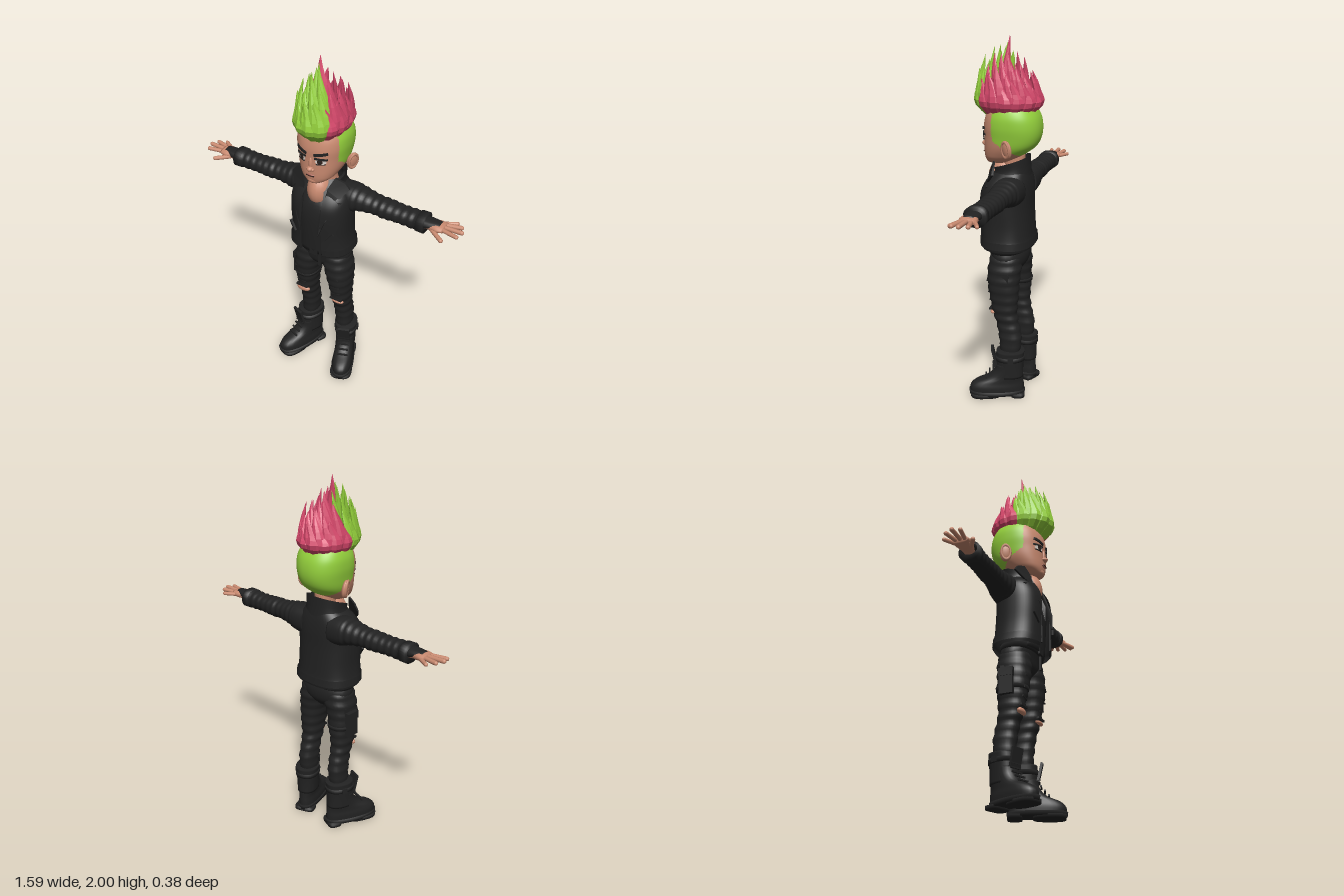
import * as THREE from 'three';
import { mergeVertices, toCreasedNormals } from 'three/addons/utils/BufferGeometryUtils.js';

const colour = (name, color, extra) => Object.assign(new THREE.MeshStandardMaterial({ color }), { name }, extra);

// Rows hold [height, half width, front z, back z, centre x]; resample them smoothly.
function smooth(rows, k = 4) {
  const out = [], n = rows.length;
  for (let i = 0; i < n - 1; i++) for (let s = 0; s < k; s++) {
    const t = s / k, at = (j, c) => rows[Math.min(n - 1, Math.max(0, j))][c] ?? 0;
    out.push([0, 1, 2, 3, 4].map(c => {
      const p = at(i - 1, c), a = at(i, c), b = at(i + 1, c), q = at(i + 2, c);
      return a + 0.5 * t * (b - p + t * (2 * p - 5 * a + 4 * b - q + t * (3 * (a - b) + q - p)));
    }));
  }
  out.push([0, 1, 2, 3, 4].map(c => rows[n - 1][c] ?? 0));
  return out;
}

// Skin over stacked rounded rings; gap opens the front, alongX lays it on its side.
function loft(rows, { n = 28, p = 2.3, gap = 0, alongX = false } = {}) {
  const pos = [], idx = [], m = gap ? n + 1 : n, pw = v => Math.sign(v) * Math.abs(v) ** (2 / p);
  const put = (a, s, z) => alongX ? pos.push(s, a, z) : pos.push(a, s, z);
  const tri = (a, b, c) => alongX ? idx.push(a, c, b) : idx.push(a, b, c);
  rows.forEach(([s, r, zf, zb, c = 0]) => {
    for (let j = 0; j < m; j++) {
      const t = gap + (2 * Math.PI - 2 * gap) * j / n;
      put(c + r * pw(Math.sin(t)), s, (zf + zb) / 2 + (zf - zb) / 2 * pw(Math.cos(t)));
    }
  });
  for (let i = 0; i < rows.length - 1; i++) for (let j = 0; j < n; j++) {
    const a = i * m + j, b = i * m + (j + 1) % m;
    tri(a, b, b + m); tri(a, b + m, a + m);
  }
  if (!gap) [0, rows.length - 1].forEach((i, top) => {
    const [s, , zf, zb, c = 0] = rows[i], k = pos.length / 3;
    put(c, s, (zf + zb) / 2);
    for (let j = 0; j < n; j++) {
      const a = i * m + j, b = i * m + (j + 1) % m;
      top ? tri(k, a, b) : tri(k, b, a);
    }
  });
  const g = new THREE.BufferGeometry();
  g.setAttribute('position', new THREE.Float32BufferAttribute(pos, 3));
  g.setIndex(idx);
  g.computeVertexNormals();
  return g;
}

// Move every vertex by a rule.
function bend(g, rule) {
  const a = g.attributes.position, v = new THREE.Vector3();
  for (let i = 0; i < a.count; i++) { v.fromBufferAttribute(a, i); rule(v); a.setXYZ(i, v.x, v.y, v.z); }
  g.computeVertexNormals();
  return g;
}
function mirrored(g) {
  const f = (g.index ? g.clone() : mergeVertices(g)).scale(-1, 1, 1), ix = f.index;
  for (let i = 0; i < ix.count; i += 3) { const t = ix.getX(i); ix.setX(i, ix.getX(i + 1)); ix.setX(i + 1, t); }
  return f;
}
const ball = (rx, ry, rz, x, y, z) => new THREE.SphereGeometry(1, 20, 14).scale(rx, ry, rz).translate(x, y, z);
const box = (w, h, d, x, y, z) => new THREE.BoxGeometry(w, h, d).translate(x, y, z);

export function createModel() {
  const model = new THREE.Group();
  model.name = 'punkFigure';
  const black = colour('black cloth', 0x222222, { side: THREE.DoubleSide });
  const skin = colour('skin', 0xc98a70), green = colour('green hair', 0x94d03c), pink = colour('pink hair', 0xd4476a);
  const white = colour('eye white', 0xd8cfc8), iris = colour('dark iris', 0x33221c), lip = colour('lips', 0xa9685a);
  const add = (name, g, mat) => { const o = new THREE.Mesh(g, mat); o.name = name; model.add(o); return o; };
  const pair = (name, g, mat) => { add(name + 'Left', g, mat); add(name + 'Right', mirrored(g), mat); };

  // Head: shaved sides and back share one surface with the face
  const headRows = smooth([[1.325, .02, .105, .05], [1.335, .05, .12, 0], [1.36, .085, .127, -.05], [1.39, .105, .13, -.1],
    [1.43, .122, .13, -.15], [1.48, .132, .13, -.175], [1.54, .14, .13, -.18], [1.6, .135, .115, -.165],
    [1.65, .105, .085, -.125], [1.68, .02, .01, -.04]], 6);
  const head = loft(headRows, { n: 96 });
  const hp = head.attributes.position, parts = [[], []];
  for (let i = 0; i < head.index.count; i += 3) {
    const t = [0, 1, 2].map(k => head.index.getX(i + k));
    const y = t.reduce((s, k) => s + hp.getY(k) / 3, 0), z = t.reduce((s, k) => s + hp.getZ(k) / 3, 0);
    const hairline = y > 1.47 ? .055 : .055 - (1.47 - y) * 1.6;
    parts[y > 1.365 && z < hairline ? 1 : 0].push(...t);
  }
  head.setIndex([...parts[0], ...parts[1]]);
  head.addGroup(0, parts[0].length, 0);
  head.addGroup(parts[0].length, parts[1].length, 1);
  add('head', head, [skin, green]);
  const headZ = (x, y) => {
    const [, r, zf, zb] = headRows.reduce((a, b) => Math.abs(b[0] - y) < Math.abs(a[0] - y) ? b : a);
    return (zf + zb) / 2 + (zf - zb) / 2 * Math.max(0, 1 - Math.abs(x / r) ** 2.3) ** (1 / 2.3);
  };
  const onFace = g => bend(g, v => { v.z += headZ(v.x, v.y); });
  const disc = (rx, ry, x, y, z) => onFace(new THREE.CircleGeometry(1, 20).scale(rx, ry, 1).translate(x, y, z));
  const strip = (w, h, x, y, tilt) => onFace(new THREE.BoxGeometry(w, h, .008, 8, 1, 1).rotateZ(tilt).translate(x, y, .003));

  // Face
  pair('eye', disc(.027, .015, .056, 1.478, .004), white);
  pair('iris', disc(.014, .014, .054, 1.479, .006), iris);
  pair('pupil', disc(.007, .007, .054, 1.479, .008), black);
  pair('upperLash', strip(.062, .009, .057, 1.494, -.05), black);
  pair('lowerLash', strip(.045, .003, .057, 1.463, .05), black);
  pair('eyebrow', strip(.068, .014, .056, 1.521, .22), black);
  add('nose', ball(.017, .014, .021, 0, 1.428, .133), skin);
  add('noseBridge', ball(.011, .04, .012, 0, 1.455, .126), skin);
  pair('nostril', ball(.009, .008, .011, .014, 1.424, .131), skin);
  add('lips', onFace(ball(.027, .009, .006, 0, 1.385, .001)), lip);
  add('mouthLine', strip(.044, .003, 0, 1.386, 0).translate(0, 0, .003), iris);
  add('chin', ball(.032, .02, .016, 0, 1.35, .112), skin);
  pair('ear', ball(.017, .05, .034, 0, 0, 0).rotateZ(-.15).rotateY(-.5).translate(.148, 1.433, -.04), skin);
  pair('earRim', new THREE.TorusGeometry(.03, .007, 8, 20).scale(.85, 1.4, 1).rotateY(1.1).rotateZ(-.15).translate(.156, 1.435, -.035), skin);

  // Hair: rings of bent pointed locks
  const lock = (a, k, tipR, tipY, w, mat) => {
    const dir = new THREE.Vector3(Math.sin(a) * .8, 0, Math.cos(a)), side = new THREE.Vector3(Math.cos(a), 0, -Math.sin(a));
    const path = new THREE.CatmullRomCurve3([[k * .68, 1.585], [k, 1.665], [k * .97, 1.665 + (tipY - 1.665) * .5], [tipR, tipY]]
      .map(([r, y]) => dir.clone().multiplyScalar(r).add(new THREE.Vector3(.008 * Math.min(1, (y - 1.58) * 4), y, 0))));
    const rows = smooth([[0, .55], [.25, 1], [.5, .85], [.75, .5], [1, .02]], 2)
      .map(([t, s]) => [t, w * s, w * .75 * s, -w * .55 * s]);
    const g = bend(loft(rows, { n: 8, p: 1.6 }), v => {
      const x = v.x + w * .5 * Math.sin(v.y * 5) * v.y, z = v.z;
      v.copy(path.getPoint(Math.min(1, Math.max(0, v.y)))).addScaledVector(side, x).addScaledVector(dir, z);
    }).toNonIndexed();
    g.computeVertexNormals();
    add(mat === green ? 'greenLock' : 'pinkLock', g, mat);
  };
  const lockRings = [[15, .155, .155, 1.79, .046], [15, .15, .125, 1.85, .04], [11, .105, .085, 1.885, .045], [7, .06, .04, 1.92, .045]];
  lockRings.forEach(([n, k, tipR, tipY, w], r) => {
    for (let i = 0; i < n; i++) {
      const a = (i + (r % 2) * .5) / n * Math.PI * 2, front = Math.cos(a + .35) > .42;
      lock(a, k, tipR, tipY + .03 * Math.cos(a) + .025 * Math.sin(i * 2.6 + r), w, front ? green : pink);
    }
  });
  lock(0, .012, .002, 2, .055, pink);
  lock(-.3, .05, .02, 1.965, .045, green);
  add('hairCore', ball(.105, .09, .13, 0, 1.67, -.01), pink);

  // Neck, chest and vest
  add('neck', loft(smooth([[1.18, .06, .03, -.1], [1.26, .058, .03, -.1], [1.31, .05, .025, -.09], [1.39, .052, .03, -.09]])), skin);
  add('chest', ball(.07, .1, .085, 0, 1.25, .03), skin);
  add('vest', loft(smooth([[.86, .145, .11, -.11], [1, .14, .12, -.11], [1.12, .145, .122, -.11], [1.2, .12, .1, -.1], [1.26, .085, .045, -.1]])), black);

  // Open jacket with collar, lapels and trims
  const jacketRows = smooth([[.87, .178, .13, -.14], [.9, .183, .14, -.146], [.93, .176, .14, -.14], [1, .17, .142, -.135], [1.1, .172, .147, -.13],
    [1.18, .172, .14, -.13], [1.24, .16, .112, -.125], [1.29, .115, .07, -.115], [1.32, .085, .04, -.105]]);
  add('jacket', loft(jacketRows, { n: 48, p: 2.5, gap: .3 }), black);
  add('waistband', loft([[.885, .186, .143, -.149], [.925, .183, .145, -.146]], { n: 40, p: 2.5, gap: .32 }), black);
  add('collar', bend(loft(smooth([[1.25, .125, .085, -.122], [1.31, .112, .075, -.116], [1.375, .115, .075, -.112]]), { n: 36, gap: .75 }),
    v => { if (v.y > 1.28) v.y -= (v.z + .11) * .32 * (v.y - 1.28) / .09; }), black);
  const plate = (pts, d) => new THREE.ExtrudeGeometry(new THREE.Shape(pts.map(p => new THREE.Vector2(...p))), { depth: d, bevelEnabled: false });
  const drape = g => toCreasedNormals(bend(g, v => { v.z += .152 - .36 * Math.max(0, v.y - 1.1) - 1.8 * v.x * v.x; }), .6);
  pair('lapel', drape(plate([[.055, 1.02], [.09, 1.12], [.15, 1.225], [.12, 1.235], [.13, 1.255], [.075, 1.3], [.06, 1.2], [.05, 1.1]], .009)), black);
  pair('collarWing', drape(plate([[.07, 1.29], [.14, 1.25], [.178, 1.3], [.15, 1.335], [.1, 1.355]], .012)), black);
  pair('pocketFlap', box(.065, .012, .012, 0, 0, 0).rotateZ(.9).rotateY(.35).translate(.115, 1.02, .132), black);
  pair('frontZip', box(.008, .19, .01, .062, .985, .137), black);

  // Sleeves with creases
  const sleeve = smooth([[.09, .08, .03, -.125, 1.2], [.16, .077, .032, -.125, 1.205], [.22, .062, .024, -.115, 1.21], [.3, .05, .014, -.102, 1.208],
    [.36, .051, .016, -.102, 1.206], [.45, .046, .012, -.096, 1.206], [.53, .049, .012, -.095, 1.206], [.585, .05, .016, -.098, 1.207]], 8)
    .map(([x, r, f, b, c]) => { const q = .0025 * Math.sin(x * 150) * (x > .18 && x < .56 ? 1 : 0); return [x, r + q, f + q, b - q, c]; });
  pair('sleeve', loft(sleeve, { alongX: true }), black);
  pair('cuff', loft([[.55, .052, .018, -.1, 1.207], [.592, .053, .019, -.101, 1.207]], { alongX: true }), black);

  // Hands: palm, fanned fingers and half glove
  pair('palm', loft(smooth([[.575, .026, -.005, -.07, 1.208], [.62, .023, 0, -.075, 1.212], [.66, .022, .008, -.085, 1.214], [.695, .015, .002, -.083, 1.216]]), { n: 18, alongX: true }), skin);
  pair('glove', loft(smooth([[.57, .027, .005, -.08, 1.214], [.62, .022, .002, -.079, 1.218], [.672, .014, -.012, -.068, 1.225]]), { n: 18, alongX: true }), black);
  const finger = (name, from, to, r) => {
    const a = new THREE.Vector3(...from), b = new THREE.Vector3(...to), d = b.clone().sub(a);
    const g = new THREE.CapsuleGeometry(r, d.length() - r, 5, 10);
    g.applyQuaternion(new THREE.Quaternion().setFromUnitVectors(new THREE.Vector3(0, 1, 0), d.normalize()));
    pair(name, g.translate(...a.add(b).multiplyScalar(.5).toArray()), skin);
  };
  finger('littleFinger', [.67, 1.212, -.075], [.735, 1.212, -.113], .0105);
  finger('ringFinger', [.68, 1.217, -.062], [.772, 1.22, -.082], .0115);
  finger('middleFinger', [.68, 1.218, -.04], [.79, 1.222, -.04], .012);
  finger('indexFinger', [.68, 1.217, -.018], [.778, 1.218, .002], .0115);
  finger('thumb', [.63, 1.205, -.01], [.712, 1.192, .04], .012);

  // Trousers, belt and knees
  add('hips', loft(smooth([[.73, .05, .04, -.07], [.77, .135, .07, -.1], [.82, .162, .08, -.108], [.87, .152, .09, -.1], [.91, .145, .09, -.1]])), black);
  add('belt', loft([[.85, .16, .1, -.108], [.885, .156, .102, -.106]], { n: 36 }), black);
  add('buckle', box(.05, .04, .012, 0, .867, .105), black);
  add('beltStrap', box(.018, .1, .01, .03, .82, .092), black);
  const leg = smooth([[.24, .043, .005, -.1, .117], [.35, .048, .014, -.112, .114], [.44, .048, .03, -.095, .112], [.5, .053, .05, -.085, .112],
    [.58, .06, .066, -.09, .11], [.68, .073, .082, -.094, .104], [.77, .081, .082, -.1, .09], [.83, .075, .07, -.09, .08]], 6)
    .map(([y, r, f, b, c]) => { const q = .003 * Math.sin(y * 110); return [y, r + q, f + q, b - q, c]; });
  pair('trouserLeg', loft(leg), black);
  add('kneeSkinRight', ball(.043, .019, .018, -.115, .497, .042), skin);
  add('kneeSkinLeft', ball(.04, .013, .018, .118, .506, .043), skin);
  pair('kneeTear', box(.075, .012, .016, .115, .526, .054), black);
  [.57, .62, .69].forEach((y, i) => pair('thighRip', box(.055, .006, .01, 0, 0, 0).rotateZ(.2 - i * .15).translate(.115, y, .06 + i * .008), black));
  pair('sidePocket', box(.01, .05, .07, .167, .72, -.02), black);
  add('holster', box(.03, .14, .075, -.178, .65, -.015), black);
  add('holsterFlap', box(.036, .045, .08, -.178, .7, -.015), black);
  add('thighStrap', loft([[.615, .07, .075, -.098, -.11], [.635, .072, .077, -.099, -.11]]), black);

  // Boots, turned outwards
  const boot = (name, g) => pair(name, g.rotateY(.37).translate(.125, 0, -.05), black);
  const widen = g => bend(g, v => { v.x *= 1 + Math.max(0, v.z) * .7; });
  boot('bootFoot', widen(loft(smooth([[.025, .056, .222, -.08], [.06, .057, .224, -.08], [.09, .053, .195, -.078], [.12, .053, .125, -.076],
    [.16, .056, .088, -.074], [.2, .058, .08, -.076]]))));
  boot('bootShaft', loft(smooth([[.12, .057, .085, -.076], [.18, .059, .078, -.076], [.23, .062, .078, -.079], [.28, .066, .075, -.082]])));
  boot('bootSole', widen(loft([[.012, .06, .228, -.085], [.036, .061, .232, -.086]], { n: 36 })));
  boot('bootHeel', loft([[0, .058, -.005, -.083], [.02, .058, -.005, -.083]], { p: 4 }));
  boot('bootTread', widen(loft([[0, .058, .222, .05], [.02, .058, .226, .05]], { p: 3 })));
  boot('bootTongue', box(.07, .1, .014, 0, 0, 0).rotateX(.22).translate(0, .245, .088));
  boot('bootCuff', loft([[.225, .066, .082, -.083], [.25, .068, .082, -.084]]));
  boot('bootStrap', box(.016, .03, .03, .066, .24, 0));
  for (let i = 0; i < 5; i++) boot('bootLace', box(.066, .008, .01, 0, .12 + i * .024, .122 - .05 * Math.min(1, i * .4) + .012));
  return model;
}
